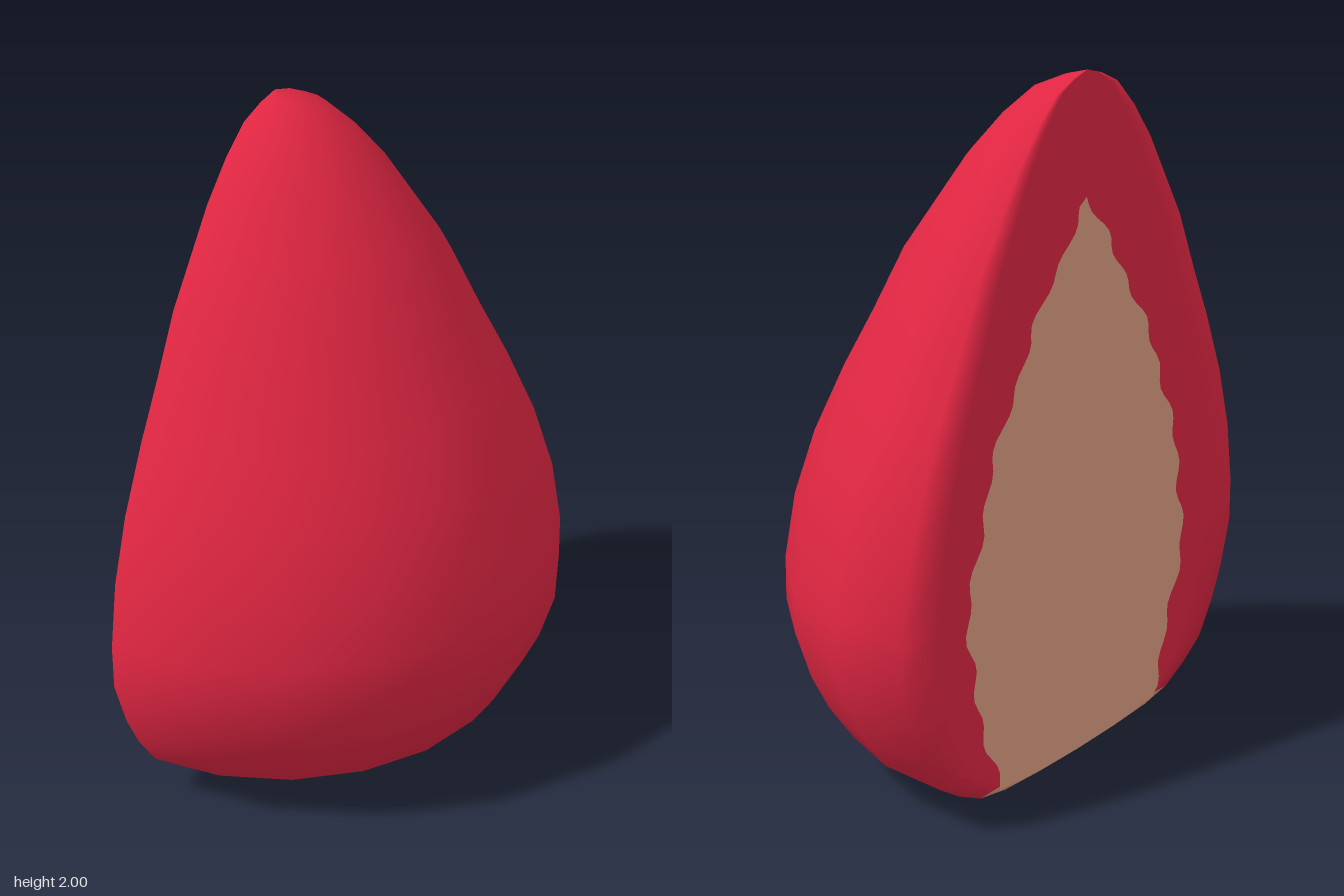
import * as THREE from 'three';

const CUT_X = -0.42;
const SKIN = new THREE.MeshStandardMaterial({ color: 0xe02642 });
SKIN.name = 'red skin';
const FLESH = new THREE.MeshStandardMaterial({ color: 0xe2a086 });
FLESH.name = 'pale flesh';

// Half-fruit outline from base to tip: [radius, height]
const PROFILE = [
  [0, 0], [0.2, 0.003], [0.37, 0.011], [0.49, 0.03], [0.59, 0.075], [0.68, 0.13],
  [0.75, 0.23], [0.8, 0.33], [0.845, 0.47], [0.845, 0.6], [0.815, 0.79], [0.755, 0.98],
  [0.67, 1.17], [0.587, 1.33], [0.5, 1.51], [0.42, 1.63], [0.33, 1.765], [0.24, 1.87],
  [0.15, 1.95], [0.07, 1.983], [0, 2],
];
const BASE_RINGS = 3;

// Closed half-round cross-section of unit radius: [x, z], arc then flat side
function crossSection() {
  const loop = [];
  for (let i = 0; i <= 10; i++) {
    const a = (i / 10) * Math.PI;
    loop.push([Math.sin(a), Math.cos(a)]);
  }
  for (const z of [-0.8, -0.4, 0, 0.4, 0.8]) loop.push([0, z]);
  return loop;
}

// Loft of the cross-section along the profile; normals blend around the cut edge
function bodyGeometry() {
  const loop = crossSection();
  const n = loop.length;
  const positions = [];
  const indices = [];
  for (const [r, y] of PROFILE) {
    for (const [x, z] of loop) positions.push(CUT_X + x * r, y, z * r);
  }
  for (let i = 0; i < PROFILE.length - 1; i++) {
    for (let j = 0; j < n; j++) {
      const a = i * n + j;
      const b = i * n + ((j + 1) % n);
      indices.push(a, b, b + n, a, b + n, a + n);
    }
  }
  const geometry = new THREE.BufferGeometry();
  geometry.setAttribute('position', new THREE.Float32BufferAttribute(positions, 3));
  geometry.setIndex(indices);
  geometry.computeVertexNormals();
  const baseCount = BASE_RINGS * n * 6;
  geometry.addGroup(0, baseCount, 1);
  geometry.addGroup(baseCount, indices.length - baseCount, 0);
  return geometry;
}

// Ragged flesh patch on the flat cut side
function fleshGeometry() {
  const half = [
    [0.4, 0.02], [0.45, 0.15], [0.53, 0.4], [0.55, 0.56], [0.5, 0.8],
    [0.42, 1.03], [0.28, 1.28], [0.19, 1.41], [0, 1.65],
  ].map(([z, y]) => new THREE.Vector2(z, y));
  const edge = new THREE.SplineCurve(half).getSpacedPoints(60);
  const ragged = (side, phase) => edge.map((p, i) => {
    const fade = i === 0 || i === 60 ? 0 : 1;
    const ripple = 0.014 * Math.sin(i * 1.05 + phase) + 0.009 * Math.sin(i * 0.47 + phase * 2);
    return new THREE.Vector2(side * Math.max(0, p.x + fade * ripple), p.y);
  });
  const left = ragged(1, 0.4);
  const right = ragged(-1, 2.1).reverse().slice(1);
  const geometry = new THREE.ShapeGeometry(new THREE.Shape([...left, ...right]));
  geometry.rotateY(-Math.PI / 2);
  geometry.translate(CUT_X - 0.003, 0, 0);
  return geometry;
}

export function createModel() {
  const group = new THREE.Group();
  group.name = 'halfFruit';

  const body = new THREE.Mesh(bodyGeometry(), [SKIN, FLESH]);
  body.name = 'fruitBody';

  const flesh = new THREE.Mesh(fleshGeometry(), FLESH);
  flesh.name = 'cutFlesh';

  group.add(body, flesh);
  return group;
}
